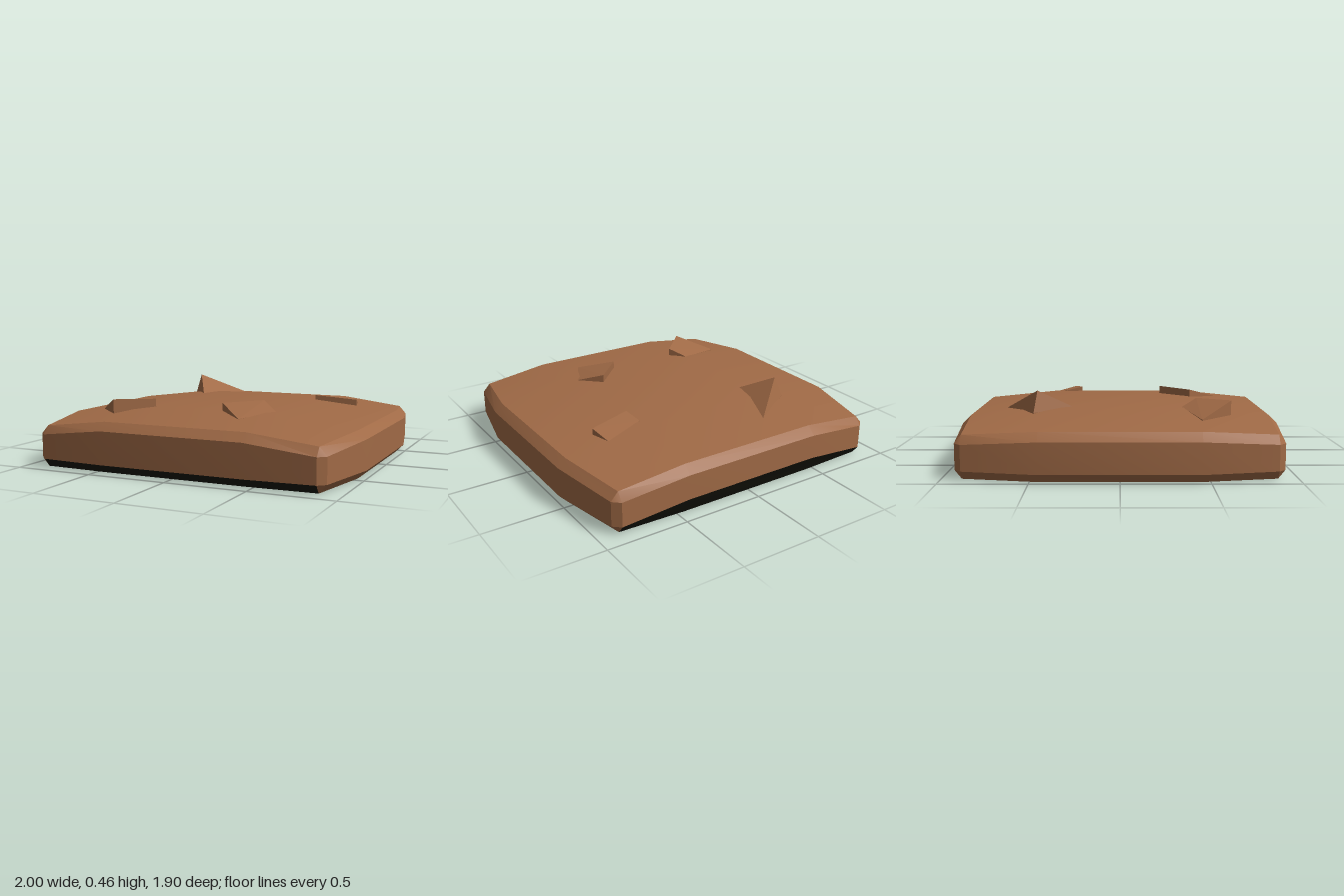
import * as THREE from 'three';
import { toCreasedNormals } from 'three/addons/utils/BufferGeometryUtils.js';
import { ConvexGeometry } from 'three/addons/geometries/ConvexGeometry.js';

const clay = new THREE.MeshStandardMaterial({ color: 0xa06a46 });
clay.name = 'clay brown';
const underside = new THREE.MeshStandardMaterial({ color: 0x16160b });
underside.name = 'dark underside';

// One quarter of the outline: wall point, inset cap point, heights of wall top and cap rim
const SIDE = { wall: [1, 0.45], cap: [0.95, 0.45], yWall: 0.23, yCap: 0.28 };
const CORNER_SIDE = { wall: [0.91, 0.885], cap: [0.865, 0.885], yWall: 0.2, yCap: 0.25 };
const CORNER_END = { wall: [0.865, 0.925], cap: [0.865, 0.885], yWall: 0.2, yCap: 0.25 };
const END = { wall: [0.45, 0.95], cap: [0.45, 0.9], yWall: 0.25, yCap: 0.3 };
const MIDDLE = { cap: [0.45, 0.45], yCap: 0.345 };
const QUARTER = [SIDE, CORNER_SIDE, CORNER_END, END];

// Collects quads, dropping collapsed triangles
function pushQuad(list, a, b, c, d) {
  for (const [p, q, r] of [[a, b, c], [a, c, d]]) {
    const area = q.clone().sub(p).cross(r.clone().sub(p)).length();
    if (area > 1e-6) for (const v of [p, q, r]) list.push(v.x, v.y, v.z);
  }
}

function meshFrom(list, material, name) {
  const geo = new THREE.BufferGeometry();
  geo.setAttribute('position', new THREE.Float32BufferAttribute(list, 3));
  const mesh = new THREE.Mesh(toCreasedNormals(geo, 0.5), material);
  mesh.name = name;
  return mesh;
}

// Rings of the slab, from the bottom inset to the top rim, one entry per column
function slabColumns() {
  const columns = [];
  [[1, 1], [-1, 1], [-1, -1], [1, -1]].forEach(([sx, sz], q) => {
    const points = q % 2 ? [...QUARTER].reverse() : QUARTER;
    for (const p of points) {
      const at = ([x, z], y) => new THREE.Vector3(sx * x, y, sz * z);
      const foot = p === END && sz < 0 ? 0.1 : 0.05;
      columns.push([at(p.cap, 0), at(p.wall, foot), at(p.wall, p.yWall), at(p.cap, p.yCap)]);
    }
  });
  return columns;
}

// Cap point on a 4 x 4 grid, domed on top and flat below
function capPoint(i, j, top) {
  const edgeX = i % 3 === 0, edgeZ = j % 3 === 0;
  const p = edgeX ? (edgeZ ? CORNER_SIDE : SIDE) : (edgeZ ? END : MIDDLE);
  return new THREE.Vector3(i < 2 ? -p.cap[0] : p.cap[0], top ? p.yCap : 0, j < 2 ? -p.cap[1] : p.cap[1]);
}

// Raised chip: the given top points, with the rim points carried down into the slab
function chip(name, rim, apex = []) {
  const points = [...rim, ...rim.map(([x, , z]) => [x, 0.28, z]), ...apex];
  const mesh = new THREE.Mesh(new ConvexGeometry(points.map((p) => new THREE.Vector3(...p))), clay);
  mesh.name = name;
  return mesh;
}

export function createModel() {
  const model = new THREE.Group();
  model.name = 'stoneSlab';
  const body = [], base = [];

  // Walls and bevels
  const columns = slabColumns();
  columns.forEach((col, k) => {
    const next = columns[(k + 1) % columns.length];
    const onEnd = k % 8 >= 2 && k % 8 <= 4;
    for (let r = 0; r < 3; r++) {
      const list = r === 0 && onEnd ? base : body;
      pushQuad(list, col[r], col[r + 1], next[r + 1], next[r]);
    }
  });

  // Domed top and flat bottom
  for (let i = 0; i < 3; i++) {
    for (let j = 0; j < 3; j++) {
      const cell = (top) => [[i, j], [i, j + 1], [i + 1, j + 1], [i + 1, j]].map(([a, b]) => capPoint(a, b, top));
      pushQuad(body, ...cell(true));
      pushQuad(base, ...cell(false).reverse());
    }
  }
  model.add(meshFrom(body, clay, 'slabBody'), meshFrom(base, underside, 'slabUnderside'));

  // Chips standing out of the top
  model.add(
    chip('backRightShard',
      [[-0.57, 0.33, -0.51], [-0.24, 0.31, -0.72], [-0.39, 0.335, -0.27]], [[-0.52, 0.457, -0.49]]),
    chip('backLeftChip',
      [[0.42, 0.348, -0.38], [0.68, 0.315, -0.46], [0.71, 0.35, -0.325], [0.445, 0.375, -0.265]]),
    chip('frontLeftChip',
      [[0.11, 0.39, 0.47], [0.3, 0.395, 0.275], [0.43, 0.345, 0.4], [0.295, 0.327, 0.65]]),
    chip('frontRightChip',
      [[-0.73, 0.313, 0.47], [-0.43, 0.346, 0.375], [-0.35, 0.392, 0.47], [-0.54, 0.4, 0.66]]),
  );
  return model;
}
